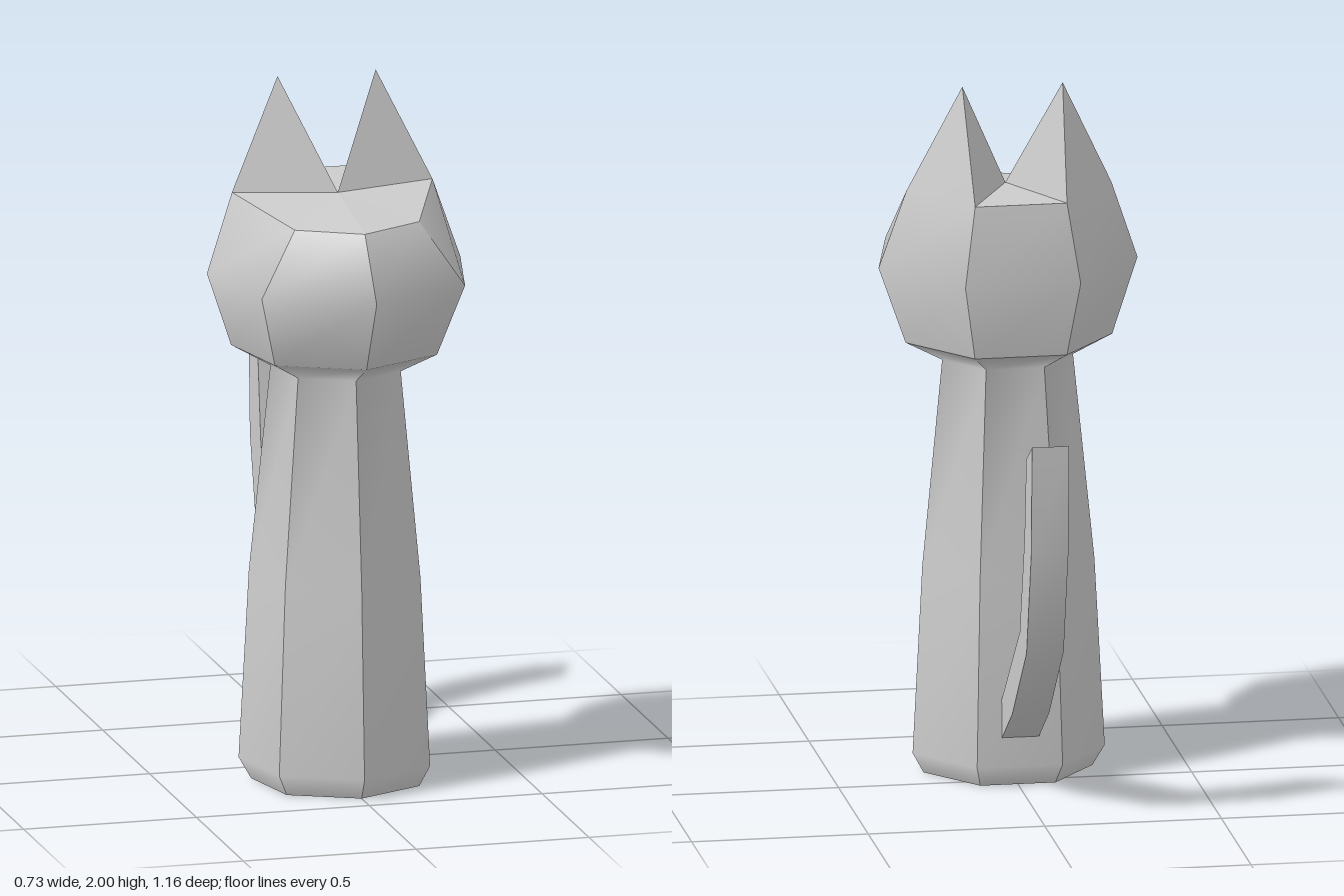
import * as THREE from 'three';
import { mergeGeometries, toCreasedNormals } from 'three/addons/utils/BufferGeometryUtils.js';

const SIDES = 7;
const material = new THREE.MeshStandardMaterial({ color: 0xcccccc });

// Seven-sided ring with one corner at the front, running towards +x
function ring(y, r, cz) {
  return Array.from({ length: SIDES }, (_, k) => {
    const a = (k / SIDES) * Math.PI * 2;
    return [r * Math.sin(a), y, cz + r * Math.cos(a)];
  });
}

// One column of faces: smooth up its length, sharp at its sides; may end in a tip
function column(rings, k, tip) {
  const points = rings.flatMap((c) => [c[k], c[(k + 1) % SIDES]]);
  const index = [];
  const last = (rings.length - 1) * 2;
  for (let i = 0; i < last; i += 2) index.push(i, i + 1, i + 3, i, i + 3, i + 2);
  if (tip) {
    points.push(tip);
    index.push(last, last + 1, last + 2);
  }
  const g = new THREE.BufferGeometry();
  g.setAttribute('position', new THREE.Float32BufferAttribute(points.flat(), 3));
  g.setIndex(index);
  g.computeVertexNormals();
  return g.toNonIndexed();
}

// Flat polygon as a fan around its first corner
function fan(points) {
  const corners = [];
  for (let i = 1; i < points.length - 1; i++) corners.push(points[0], points[i], points[i + 1]);
  const g = new THREE.BufferGeometry();
  g.setAttribute('position', new THREE.Float32BufferAttribute(corners.flat(), 3));
  g.computeVertexNormals();
  return g;
}

function part(name, geometries) {
  const mesh = new THREE.Mesh(mergeGeometries(geometries), material);
  mesh.name = name;
  return mesh;
}

export function createModel() {
  const group = new THREE.Group();
  group.name = 'cat';
  const mirror = ([x, y, z]) => [-x, y, z];
  const sides = [...Array(SIDES).keys()];

  // Body with bevelled foot and flared neck
  const jaw = ring(1.25, 0.3, 0.172);
  const bodyRings = [
    ring(0, 0.245, 0.175), ring(0.06, 0.279, 0.171), ring(0.6, 0.25, 0.17),
    ring(1.19, 0.19, 0.17), jaw,
  ];
  group.add(part('body', [
    ...sides.map((k) => column(bodyRings, k)),
    fan([...bodyRings[0]].reverse()),
  ]));

  // Head: the rear side columns run on up into the ear tips
  const nose = [0, 1.637, 0.455];
  const brow = [0.18, 1.64, 0.37];
  const earOuter = [0.29, 1.69, 0.105];
  const earBack = [0.13, 1.69, -0.1];
  const earInner = [0, 1.685, 0.165];
  const earTip = [0.142, 2, 0.045];
  const crown = [nose, brow, earOuter, earBack, mirror(earBack), mirror(earOuter), mirror(brow)];
  const headRings = [jaw, ring(1.465, 0.376, 0.204), crown];
  const tips = { 2: earTip, 4: mirror(earTip) };
  group.add(part('head', [
    ...sides.map((k) => column(headRings, k, tips[k])),
    fan([earInner, mirror(earOuter), mirror(brow), nose, brow, earOuter]),
    fan([earInner, earBack, mirror(earBack)]),
  ]));

  // Front and inner faces of the ears
  const earFaces = [[earInner, earOuter, earTip], [earInner, earTip, earBack]];
  group.add(part('leftEar', earFaces.map(fan)));
  group.add(part('rightEar', earFaces.map((f) => fan(f.map(mirror).reverse()))));

  // Tail: side outline (z, y) extruded across x
  const outline = [
    [-0.04, 0.225], [-0.04, 0.12], [-0.25, 0.26], [-0.49, 0.5], [-0.57, 0.81],
    [-0.583, 1.12], [-0.485, 1.06], [-0.455, 0.82], [-0.375, 0.53],
  ].map(([z, y]) => new THREE.Vector2(z, y));
  const tail = new THREE.ExtrudeGeometry(new THREE.Shape(outline), { depth: 0.105, bevelEnabled: false });
  tail.rotateY(-Math.PI / 2).translate(0.05, 0, 0);
  group.add(part('tail', [toCreasedNormals(tail, 0.55)]));

  return group;
}
